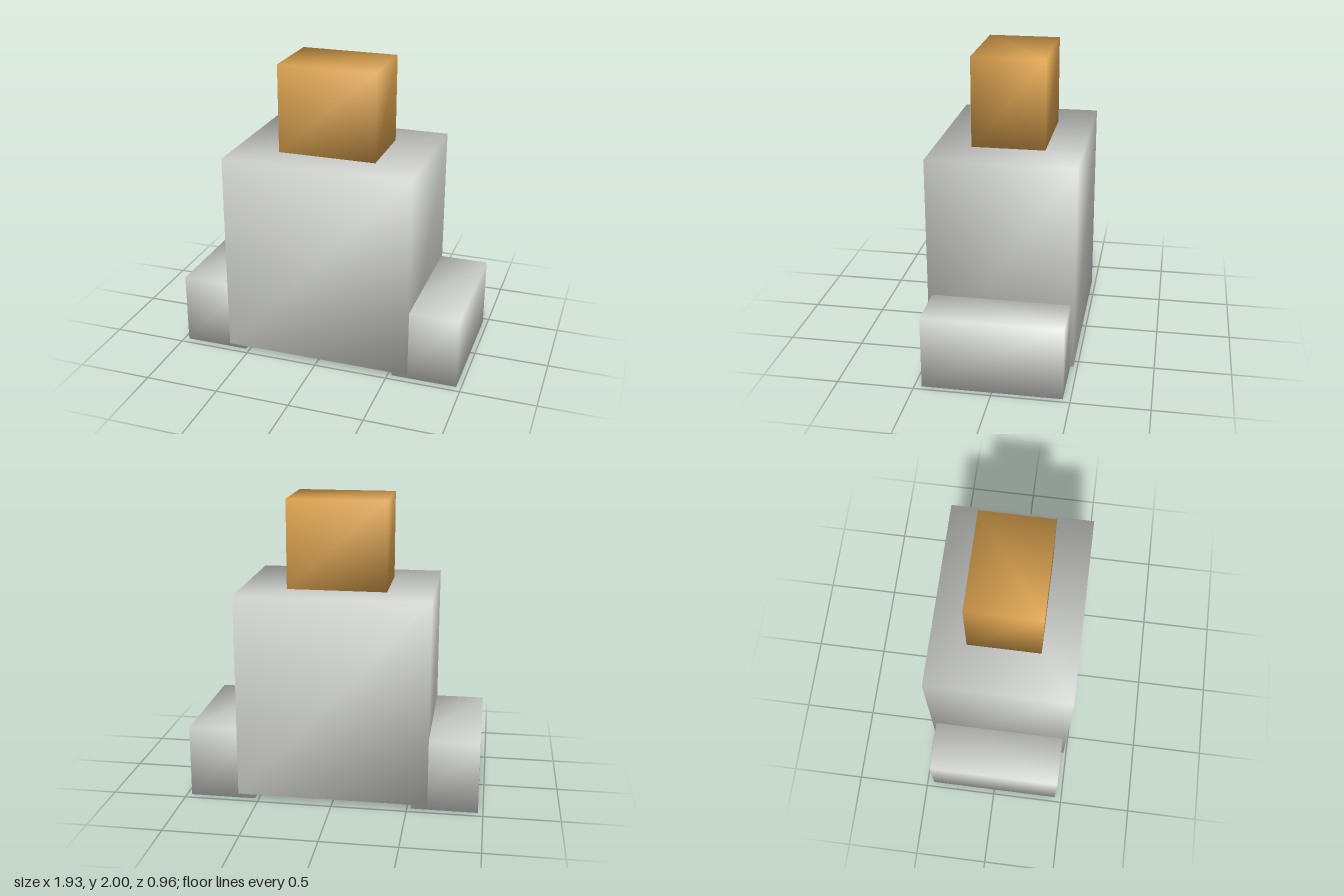
import * as THREE from 'three';
import { mergeVertices } from 'three/addons/utils/BufferGeometryUtils.js';

// Box with shared corners, so its normals are smooth across the edges
function softBox(w, h, d) {
  const box = new THREE.BoxGeometry(w, h, d);
  box.deleteAttribute('normal');
  box.deleteAttribute('uv');
  const geometry = mergeVertices(box);
  geometry.computeVertexNormals();
  return geometry;
}

export function createModel() {
  const model = new THREE.Group();
  model.name = 'blockFigure';

  const grey = new THREE.MeshStandardMaterial({ color: 0xdcdedb });
  grey.name = 'light grey';
  const orange = new THREE.MeshStandardMaterial({ color: 0xdfa550 });
  orange.name = 'warm orange';

  function addBlock(name, material, size, x, bottom) {
    const mesh = new THREE.Mesh(softBox(...size), material);
    mesh.name = name;
    mesh.position.set(x, bottom + size[1] / 2, 0);
    model.add(mesh);
  }

  // Torso and head
  addBlock('body', grey, [1.27, 1.37, 0.96], 0, 0.04);
  addBlock('head', orange, [0.66, 0.59, 0.48], 0, 1.41);

  // Side blocks, partly sunk into the body
  for (const [name, side] of [['leftFoot', 1], ['rightFoot', -1]]) {
    addBlock(name, grey, [0.44, 0.485, 0.905], side * 0.747, 0);
  }

  return model;
}
